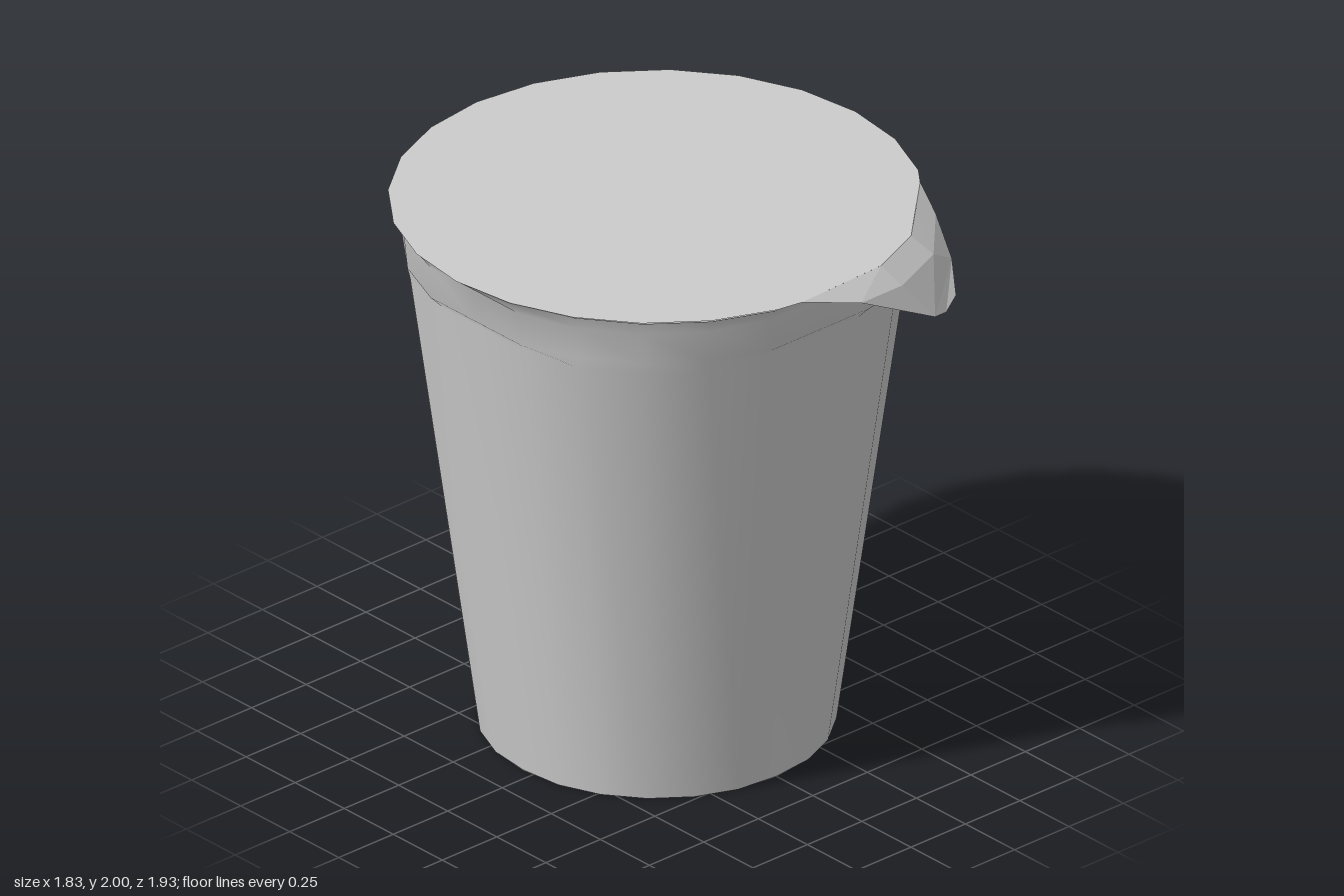
import * as THREE from 'three';
import { mergeVertices } from 'three/addons/utils/BufferGeometryUtils.js';

const SIDES = 24;
const CENTER_Z = -0.047;

function mesh(name, geometry, flat = false) {
  const m = new THREE.Mesh(geometry, new THREE.MeshStandardMaterial({
    color: 0xcccccc, side: THREE.DoubleSide, flatShading: flat,
  }));
  m.name = name;
  return m;
}

// Tapered round wall cut by four flat panels, so the rim step fades out at the corners.
function cupWall() {
  // [corner radius, panel distance, height]
  const levels = [
    [0.615, 0.61, 0], [0.858, 0.793, 1.775], [0.868, 0.835, 1.82],
    [0.88, 0.837, 1.94], [0.89, 0.86, 1.985],
  ];
  const profile = levels.map(([r, , y]) => new THREE.Vector2(r, y));
  let g = new THREE.LatheGeometry(profile, SIDES);
  const p = g.attributes.position;
  for (let i = 0; i < p.count; i++) {
    const [corner, panel, y] = levels[i % levels.length];
    const ux = p.getX(i) / corner, uz = p.getZ(i) / corner;
    let r = Math.min(corner, panel / Math.max(Math.abs(ux), Math.abs(uz)));
    let h = y;
    // The lip flares up and out towards the two sides
    if (y > 1.98) {
      const w = THREE.MathUtils.smoothstep(Math.abs(ux), 0.75, 0.97);
      r = THREE.MathUtils.lerp(r, 0.91, w);
      h += 0.013 * w;
    }
    p.setXYZ(i, ux * r, h, uz * r);
  }
  g.deleteAttribute('uv');
  g.deleteAttribute('normal');
  g = mergeVertices(g);
  g.computeVertexNormals();
  return g;
}

// Foil disc, trimmed straight along the two folds of the pull tab.
function lidDisc() {
  const points = [];
  for (let i = 0; i < SIDES; i++) {
    const a = (i / SIDES) * Math.PI * 2;
    points.push(new THREE.Vector2(0.915 * Math.sin(a), 0.05 - 0.915 * Math.cos(a)));
  }
  points[0].set(-0.14, -0.85);
  points[3].set(0.74, -0.475);
  return new THREE.ShapeGeometry(new THREE.Shape(points));
}

// Pull tab: rows run from the lid edge down to the blunt tip, sharing their end points.
function pullTab() {
  const a = [-0.14, 2, 0.85], b = [0.07, 1.95, 0.92];
  const c = [0.69, 1.95, 0.61], d = [0.74, 2, 0.475];
  const rows = [
    [a, [0.05, 2, 0.842], [0.237, 2, 0.834], [0.458, 2, 0.742], [0.6, 2, 0.608], d],
    [a, b, [0.27, 1.94, 0.905], [0.5, 1.94, 0.81], c, d],
    [a, b, [0.37, 1.805, 0.962], [0.62, 1.865, 0.77], c, d],
    [a, b, [0.45, 1.782, 0.93], [0.54, 1.795, 0.88], c, d],
  ];
  const n = rows[0].length;
  const index = [];
  for (let r = 0; r < rows.length - 1; r++) {
    for (let i = 0; i < n - 1; i++) {
      const k = r * n + i;
      index.push(k, k + n, k + 1, k + 1, k + n, k + n + 1);
    }
  }
  const g = new THREE.BufferGeometry();
  g.setAttribute('position', new THREE.Float32BufferAttribute(rows.flat(2), 3));
  g.setIndex(index);
  g.computeVertexNormals();
  return g;
}

export function createModel() {
  const model = new THREE.Group();
  model.name = 'lidded cup';

  const wall = mesh('cupWall', cupWall());
  wall.position.z = CENTER_Z;

  const base = mesh('cupBase', new THREE.CircleGeometry(0.613, SIDES));
  base.rotation.x = Math.PI / 2;
  base.position.z = CENTER_Z;

  const lid = mesh('lid', lidDisc());
  lid.rotation.x = -Math.PI / 2;
  lid.position.y = 2;

  model.add(wall, base, lid, mesh('pullTab', pullTab(), true));
  return model;
}
